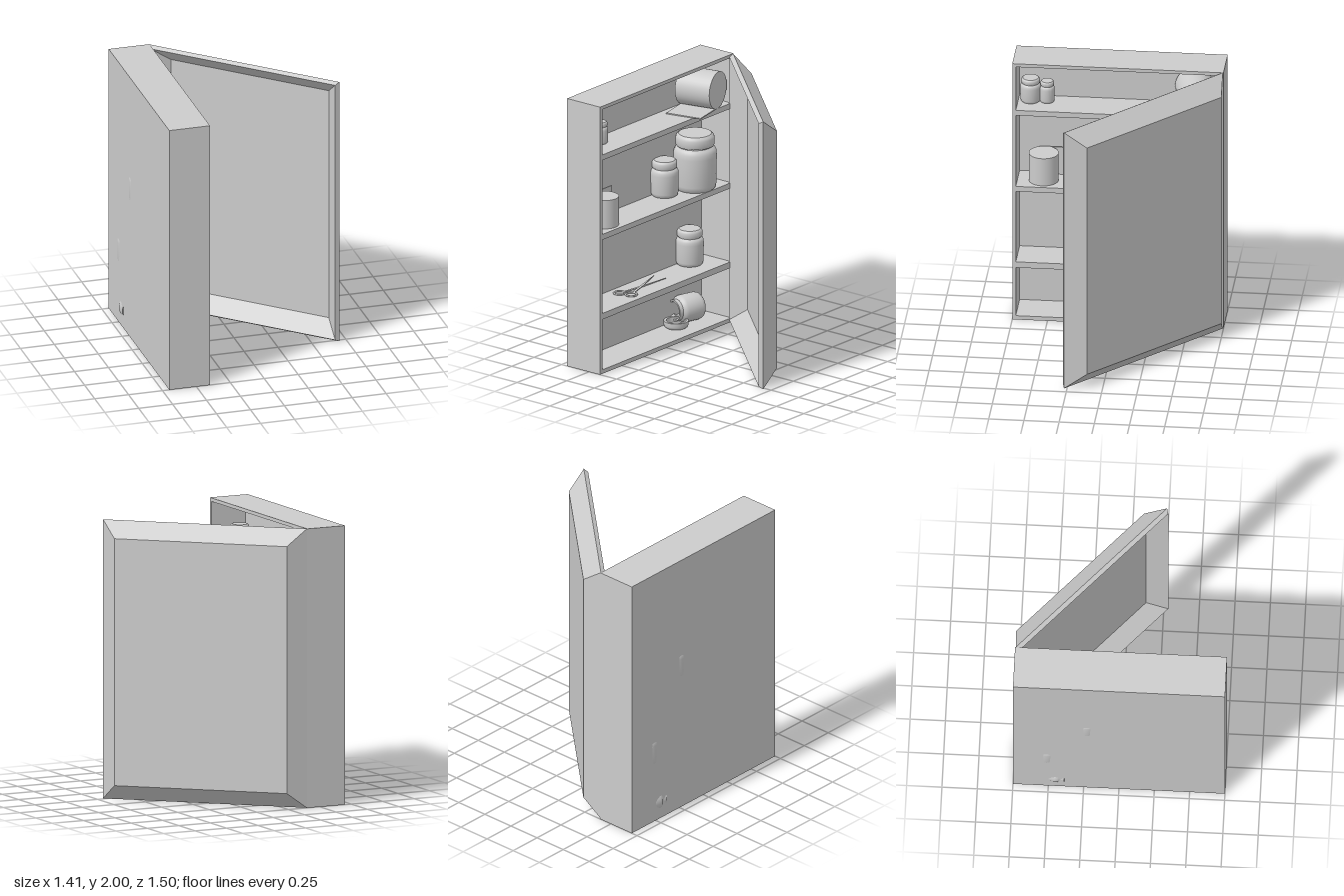
import * as THREE from 'three';
import { toCreasedNormals } from 'three/addons/utils/BufferGeometryUtils.js';

const grey = new THREE.MeshStandardMaterial({ color: 0xcccccc });
grey.name = 'plain grey';

function add(parent, name, geometry, x = 0, y = 0, z = 0) {
  const mesh = new THREE.Mesh(geometry, grey);
  mesh.name = name;
  mesh.position.set(x, y, z);
  parent.add(mesh);
  return mesh;
}

// Box given by its lower and upper corners
function slab(parent, name, x0, x1, y0, y1, z0, z1) {
  return add(parent, name, new THREE.BoxGeometry(x1 - x0, y1 - y0, z1 - z0),
    (x0 + x1) / 2, (y0 + y1) / 2, (z0 + z1) / 2);
}

function lathe(points) {
  return toCreasedNormals(new THREE.LatheGeometry(points.map(p => new THREE.Vector2(...p)), 32), 0.6);
}

// Closed jar with a rounded shoulder and a lid
function jar(parent, x, y, z, r, h) {
  const group = new THREE.Group();
  group.name = 'jar';
  group.position.set(x, y, z);
  parent.add(group);
  add(group, 'jarBody', lathe([[0, 0], [0.86, 0], [0.94, 0.03], [0.98, 0.1], [1, 0.6], [0.99, 0.68],
    [0.92, 0.74], [0.8, 0.77], [0.8, 0.82]].map(([a, b]) => [a * r, b * h])));
  add(group, 'jarLid', lathe([[0, 0.79], [0.87, 0.79], [0.9, 0.81], [0.9, 0.93], [0.86, 0.97],
    [0.76, 1], [0, 1]].map(([a, b]) => [a * r, b * h])));
}

// Paper roll along local y, with a loose sheet along local x
function paperRoll(parent, r) {
  const group = new THREE.Group();
  group.name = 'paperRoll';
  add(group, 'roll', new THREE.CylinderGeometry(r, r, 2 * r, 40));
  add(group, 'looseSheet', new THREE.BoxGeometry(2 * r, 2 * r, 0.008), r, 0, -r + 0.004);
  parent.add(group);
  return group;
}

// Hollow tray door: rectangles joined from the outer panel, round the rim, to the inner panel
function doorGeometry(w, h) {
  const rings = [[0.115, -0.115], [0, 0], [0.018, 0.03], [0.125, -0.085]].map(([i, z]) =>
    [[i, i, z], [w - i, i, z], [w - i, h - i, z], [i, h - i, z]]);
  const out = [];
  const quad = (a, b, c, d) => out.push(...a, ...b, ...c, ...a, ...c, ...d);
  for (let k = 0; k < 3; k++) {
    for (let s = 0; s < 4; s++) {
      const t = (s + 1) % 4;
      quad(rings[k][s], rings[k][t], rings[k + 1][t], rings[k + 1][s]);
    }
  }
  quad(...[...rings[0]].reverse());
  quad(...rings[3]);
  const geometry = new THREE.BufferGeometry();
  geometry.setAttribute('position', new THREE.Float32BufferAttribute(out, 3));
  geometry.computeVertexNormals();
  return geometry;
}

// Open scissors lying flat
function scissors(parent) {
  const group = new THREE.Group();
  group.name = 'scissors';
  group.position.set(0, 0.457, 0);
  parent.add(group);
  const pivot = new THREE.Vector2(-0.545, 0.1);
  [[-0.576, 0.313, -0.525, -0.147], [-0.49, 0.288, -0.62, -0.13]].forEach(([hx, hz, tx, tz], i) => {
    const ring = add(group, 'fingerRing', new THREE.TorusGeometry(0.04, 0.007, 8, 24), hx, 0, hz);
    ring.rotation.x = Math.PI / 2;
    const handle = new THREE.Vector2(hx, hz), tip = new THREE.Vector2(tx, tz);
    const dir = pivot.clone().sub(handle).normalize();
    const start = handle.clone().addScaledVector(dir, 0.04);
    const side = new THREE.Vector2(-dir.y, dir.x).multiplyScalar(0.009);
    // shape y is turned to -z
    const outline = [start.clone().add(side), pivot.clone().add(side), tip,
      pivot.clone().sub(side), start.clone().sub(side)].map(p => new THREE.Vector2(p.x, -p.y));
    const blade = add(group, 'blade', new THREE.ExtrudeGeometry(new THREE.Shape(outline),
      { depth: 0.005, bevelEnabled: false }), 0, i * 0.005 - 0.005, 0);
    blade.rotation.x = -Math.PI / 2;
  });
}

export function createModel() {
  const model = new THREE.Group();
  model.name = 'wallCabinet';

  // Cabinet case
  const cabinet = new THREE.Group();
  cabinet.name = 'cabinet';
  model.add(cabinet);
  slab(cabinet, 'backPanel', -0.7, -0.67, 0, 2, -0.75, 0.75);
  slab(cabinet, 'bottomPanel', -0.67, -0.4, 0, 0.03, -0.75, 0.75);
  slab(cabinet, 'topPanel', -0.67, -0.4, 1.975, 2, -0.75, 0.75);
  for (const s of [-1, 1]) {
    slab(cabinet, 'sidePanel', -0.67, -0.4, 0.03, 1.975, s < 0 ? -0.75 : 0.725, s < 0 ? -0.725 : 0.75);
  }
  for (const [y0, y1] of [[0.405, 0.45], [1.0, 1.04], [1.595, 1.635]]) {
    slab(cabinet, 'shelf', -0.67, -0.402, y0, y1, -0.725, 0.725);
  }

  // Open door on its hinge
  const door = add(model, 'door', doorGeometry(1.495, 2), -0.4, 0, -0.745);
  door.rotation.y = -0.748;

  // Jars: x, shelf height, z, radius, height
  for (const j of [
    [-0.58, 1.635, 0.638, 0.073, 0.18],
    [-0.58, 1.635, 0.52, 0.053, 0.16],
    [-0.534, 1.04, -0.484, 0.154, 0.41],
    [-0.604, 1.04, -0.227, 0.1, 0.265],
    [-0.604, 0.45, -0.51, 0.1, 0.265],
  ]) jar(model, ...j);

  // Standing and lying paper rolls
  const standing = paperRoll(model, 0.106);
  standing.position.set(-0.535, 1.146, 0.54);
  standing.rotation.y = Math.PI / 2;
  const lying = paperRoll(model, 0.136);
  lying.quaternion.setFromRotationMatrix(new THREE.Matrix4().makeBasis(
    new THREE.Vector3(0.208, 0, 0.978), new THREE.Vector3(0.978, 0, -0.208), new THREE.Vector3(0, 1, 0)));
  lying.position.set(-0.531, 1.773, -0.544);

  scissors(model);

  // Tipped open jar and its upturned lid
  const tipped = add(model, 'tippedJar', lathe([[0, 0], [0.086, 0], [0.095, 0.01], [0.1, 0.03], [0.1, 0.15],
    [0.094, 0.17], [0.077, 0.185], [0.077, 0.215], [0.064, 0.215], [0.064, 0.18], [0.085, 0.15],
    [0.085, 0.02], [0, 0.02]]), -0.575, 0.13, -0.575);
  tipped.quaternion.setFromUnitVectors(new THREE.Vector3(0, 1, 0), new THREE.Vector3(-0.05, 0, 0.178).normalize());
  add(model, 'looseLid', lathe([[0, 0], [0.072, 0], [0.084, 0.01], [0.088, 0.02], [0.088, 0.05],
    [0.07, 0.05], [0.07, 0.012], [0, 0.012]]), -0.58, 0.03, -0.327);

  return model;
}
